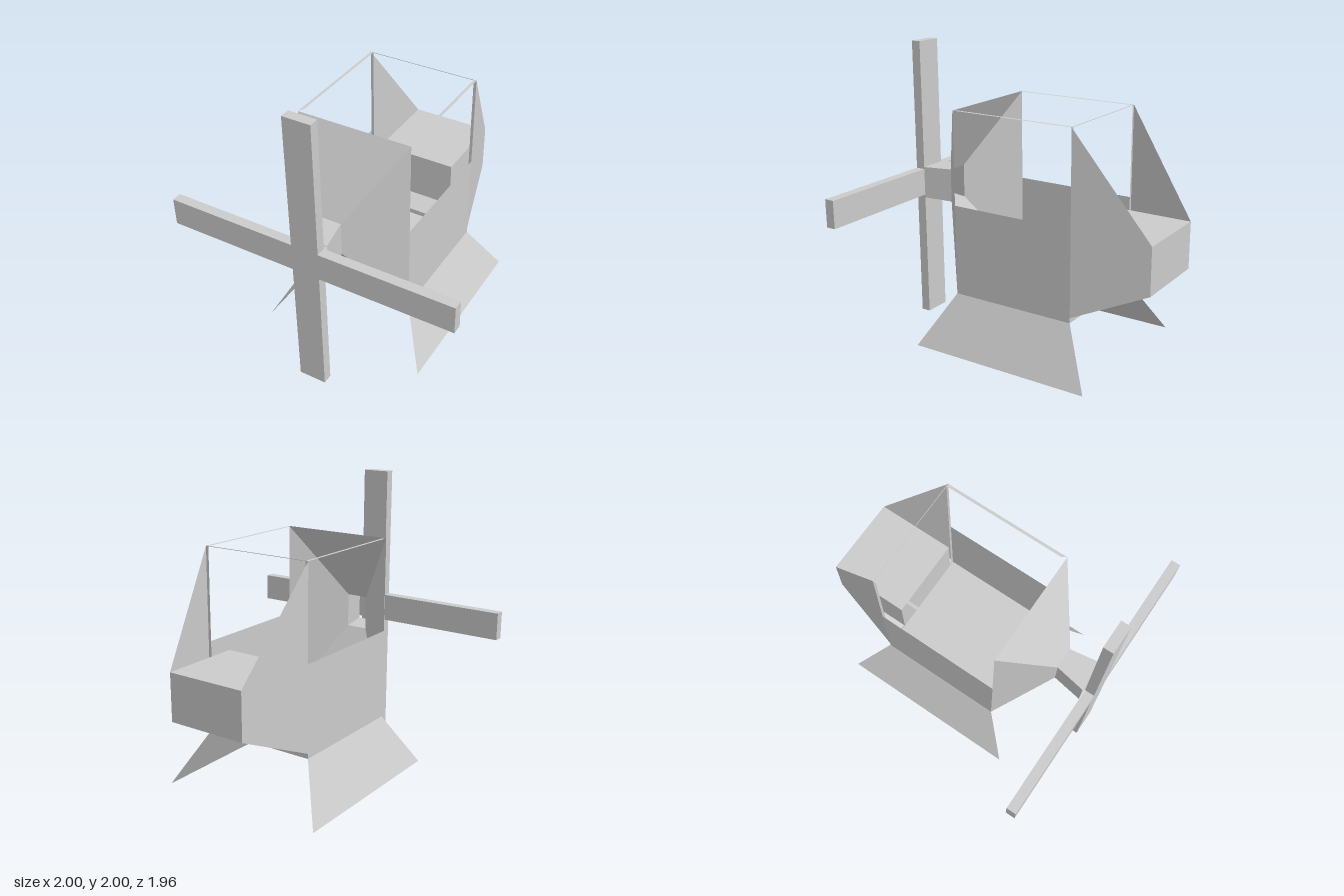
import * as THREE from 'three';

const material = new THREE.MeshStandardMaterial({
  color: 0xcccccc, flatShading: true, side: THREE.DoubleSide,
});

function add(parent, name, geometry) {
  const mesh = new THREE.Mesh(geometry, material);
  mesh.name = name;
  parent.add(mesh);
  return mesh;
}

// Flat panels from four corners each, counter-clockwise seen from outside
function panels(...quads) {
  const points = quads.flatMap(([a, b, c, d]) => [a, b, c, a, c, d]);
  const geometry = new THREE.BufferGeometry();
  geometry.setAttribute('position', new THREE.Float32BufferAttribute(points.flat(), 3));
  geometry.computeVertexNormals();
  return geometry;
}

// Corners of an upright rectangle, counter-clockwise seen from the front
const ring = (x, y0, y1, z) => [[-x, y0, z], [x, y0, z], [x, y1, z], [-x, y1, z]];

// Open sleeve joining a back ring to a front ring
function sleeve(back, front) {
  return panels(...back.map((p, i) => {
    const j = (i + 1) % 4;
    return [p, back[j], front[j], front[i]];
  }));
}

export function createModel() {
  const model = new THREE.Group();
  const W = 0.4, FLOOR = 0.365, SILL = 0.99, TOP = 1.63;
  const FRONT = 0.405, BACK = -0.485, IN = 0.38;

  // Nose: open funnel and flared collar
  const neck = ring(0.075, 0.885, 1.12, 0.69);
  add(model, 'noseCone', sleeve(ring(W, FLOOR, TOP, FRONT), neck));
  add(model, 'noseCollar', sleeve(neck, ring(0.11, 0.89, 1.115, 0.9)));

  // Cabin floor with its narrow rear lip
  add(model, 'floor', panels(
    [[-W, FLOOR, BACK], [W, FLOOR, BACK], [W, FLOOR, FRONT], [-W, FLOOR, FRONT]],
    [[W, FLOOR, BACK], [-W, FLOOR, BACK], [-W, 0.4, BACK], [W, 0.4, BACK]],
  ));

  // Mirrored sheets: cabin wall, canopy frame, tail side and landing skid
  for (const s of [1, -1]) {
    const side = new THREE.Group();
    side.name = s > 0 ? 'leftSide' : 'rightSide';
    model.add(side);
    const sheet = (name, ...corners) => {
      const c = corners.map(([x, y, z]) => [s * x, y, z]);
      add(side, name, panels(s > 0 ? c : c.reverse()));
    };
    sheet('cabinWall', [W, FLOOR, FRONT], [W, FLOOR, BACK], [W, SILL, BACK], [W, SILL, FRONT]);
    sheet('canopyRail', [W, TOP, FRONT], [W, TOP, BACK], [IN, TOP, BACK], [IN, TOP, 0.37]);
    sheet('canopyPost', [IN, 0.4, BACK], [W, 0.4, BACK], [W, TOP, BACK], [IN, TOP, BACK]);
    sheet('tailSide', [W, 0.4, BACK], [0.28, 0.615, -0.98], [0.28, 0.94, -0.98], [W, TOP, BACK]);
    sheet('skid', [0.59, 0, 0.615], [0.59, 0, -0.695], [W, FLOOR, BACK], [W, FLOOR, FRONT]);
  }

  // Hairline crossbar over the back of the canopy
  add(model, 'rearCrossbar', new THREE.BoxGeometry(2 * W, 0.003, 0.003)).position.set(0, TOP, BACK);

  // Tail: sloping underside and the box between the tail sides
  add(model, 'tailUnderside', panels(
    [[0.28, 0.615, -0.98], [W, 0.4, BACK], [-W, 0.4, BACK], [-0.28, 0.615, -0.98]],
  ));
  add(model, 'tailBox', new THREE.BoxGeometry(0.56, 0.325, 0.56)).position.set(0, 0.7775, -0.7);

  // Propeller: one plus-shaped slab
  const a = 0.095;
  const cross = new THREE.Shape([
    [a, a], [a, 1], [-a, 1], [-a, a], [-1, a], [-1, -a],
    [-a, -a], [-a, -1], [a, -1], [a, -a], [1, -a], [1, a],
  ].map(([x, y]) => new THREE.Vector2(x, y)));
  add(model, 'propeller', new THREE.ExtrudeGeometry(cross, { depth: 0.067, bevelEnabled: false }))
    .position.set(0, 1, 0.913);

  return model;
}
